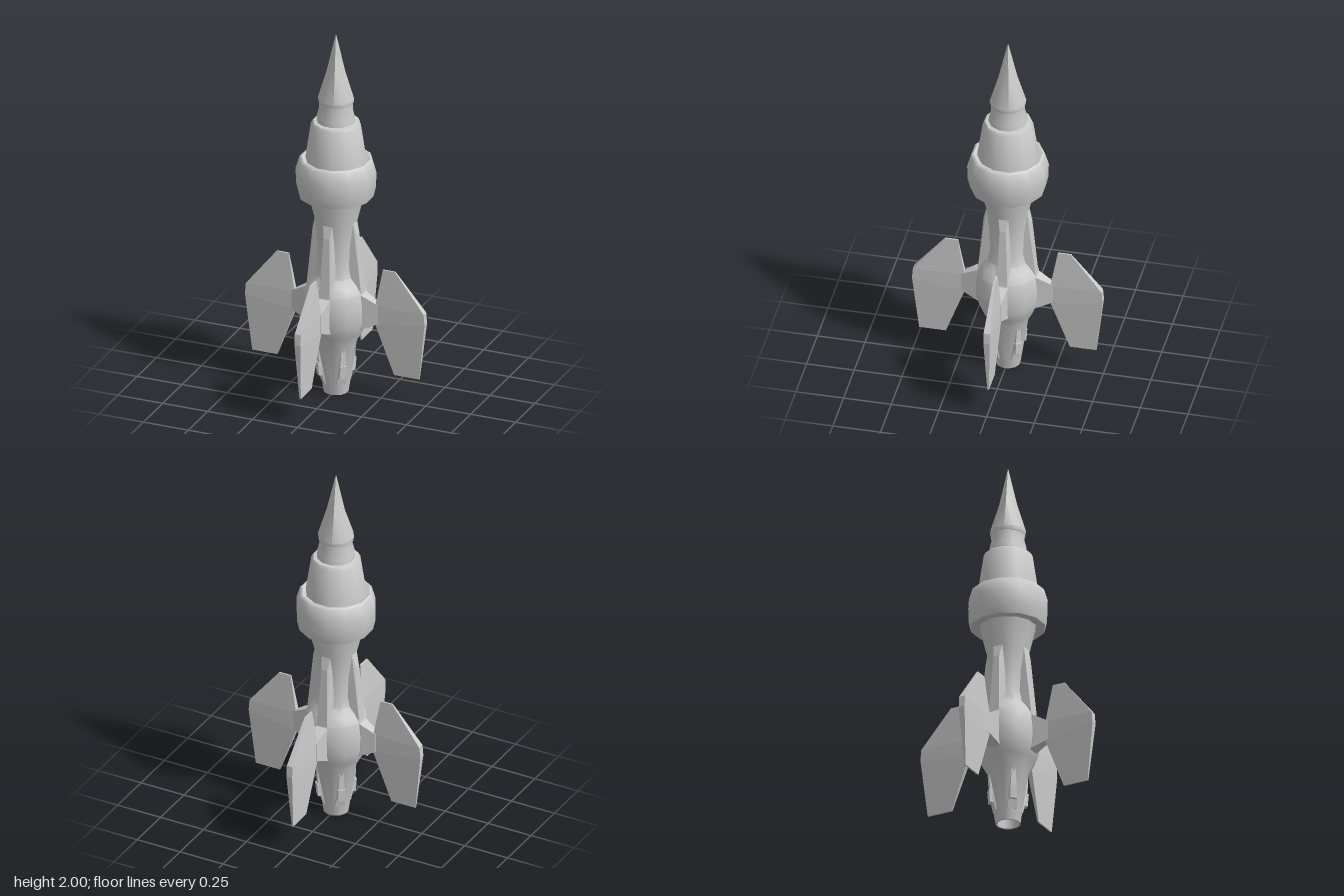
import * as THREE from 'three';
import { toCreasedNormals } from 'three/addons/utils/BufferGeometryUtils.js';
import { ConvexGeometry } from 'three/addons/geometries/ConvexGeometry.js';

const SIDES = 12;
const material = new THREE.MeshStandardMaterial({ color: 0xcccccc });

// Twelve-sided turned shape; radii are measured to the middle of the flats
function turned(profile) {
  const k = 1 / Math.cos(Math.PI / SIDES);
  const points = profile.map(([r, y]) => new THREE.Vector2(r * k, y));
  return new THREE.LatheGeometry(points, SIDES, Math.PI / SIDES);
}

function part(name, geometry) {
  const mesh = new THREE.Mesh(geometry, material);
  mesh.name = name;
  return mesh;
}

const smooth = (geometry, degrees = 36) =>
  toCreasedNormals(geometry, THREE.MathUtils.degToRad(degrees));

// Convex solid mirrored across z = 0, from [x, y, half thickness] corners
function solid(corners) {
  const points = [];
  for (const [x, y, t] of corners) {
    points.push(new THREE.Vector3(x, y, t), new THREE.Vector3(x, y, -t));
  }
  return new ConvexGeometry(points);
}

// Four copies around the vertical axis
function around(group, name, geometry, start = 0) {
  for (let i = 0; i < 4; i++) {
    const mesh = part(name + (i + 1), geometry);
    mesh.rotation.y = start + i * Math.PI / 2;
    group.add(mesh);
  }
}

export function createModel() {
  const model = new THREE.Group();
  model.name = 'rocket';

  // Hollow nozzle, bulging engine section and slim waist
  model.add(part('fuselage', smooth(turned([
    [0.002, 0.16], [0.055, 0.14], [0.055, 0], [0.063, 0], [0.105, 0.29],
    [0.135, 0.345], [0.158, 0.41], [0.16, 0.5], [0.152, 0.58], [0.128, 0.62], [0.102, 0.66],
    [0.092, 0.72], [0.094, 0.84], [0.106, 0.96], [0.142, 1.11],
  ]))));

  // Wide collar
  model.add(part('collar', smooth(turned([
    [0.12, 1.12], [0.145, 1.105], [0.188, 1.105], [0.2, 1.16], [0.202, 1.24],
    [0.183, 1.305], [0.172, 1.312], [0.14, 1.3],
  ]), 45)));

  // Tapered upper stage
  model.add(part('upperStage', smooth(turned([
    [0.155, 1.28], [0.15, 1.33], [0.125, 1.5], [0.115, 1.517], [0.08, 1.522],
  ]))));

  // Neck under the nose
  model.add(part('neck', smooth(turned([
    [0.097, 1.51], [0.094, 1.55], [0.084, 1.59], [0.086, 1.635],
  ]))));

  // Nose that changes from a round base into a square spike
  const nose = turned([[0.05, 1.62], [0.088, 1.625], [0.091, 1.645], [0.046, 1.8], [0.002, 2]]);
  const p = nose.attributes.position;
  const squeeze = Math.cos(Math.PI / 4) / Math.cos(Math.PI / 12);
  for (let i = 0; i < p.count; i++) {
    const column = Math.floor(i / 5);
    if (i % 5 === 3 && column % 3 !== 0) {
      p.setX(i, p.getX(i) * squeeze);
      p.setZ(i, p.getZ(i) * squeeze);
    }
  }
  model.add(part('nose', smooth(nose, 32)));

  // Raised ribs along the waist
  around(model, 'rib', solid([
    [0.07, 0.97, 0.03], [0.106, 0.97, 0.026], [0.124, 0.9, 0.016],
    [0.134, 0.7, 0.012], [0.152, 0.58, 0.03], [0.07, 0.57, 0.04],
  ]));

  // Pylons that carry the fins
  around(model, 'finPylon', solid([
    [0.13, 0.37, 0.035], [0.13, 0.58, 0.035], [0.16, 0.385, 0.033], [0.16, 0.57, 0.033],
    [0.24, 0.42, 0.016], [0.24, 0.525, 0.016],
  ]));

  // Fins, thick across the middle and thin at top and bottom
  around(model, 'fin', solid([
    [0.325, 0.145, 0.004], [0.465, 0.145, 0.004],
    [0.225, 0.415, 0.015], [0.5, 0.46, 0.017],
    [0.225, 0.52, 0.015], [0.495, 0.52, 0.017],
    [0.262, 0.725, 0.004], [0.33, 0.725, 0.004],
  ]));

  // Wedges and small blocks on the nozzle, between the fins
  around(model, 'nozzleWedge', solid([
    [0.07, 0.29, 0.012], [0.104, 0.29, 0.01], [0.1, 0.17, 0.016],
    [0.06, 0.06, 0.03], [0.072, 0.06, 0.026],
  ]), Math.PI / 4);
  around(model, 'nozzleBlock', solid([
    [0.06, 0.105, 0.02], [0.1, 0.105, 0.018], [0.106, 0.175, 0.018], [0.07, 0.18, 0.02],
  ]), Math.PI / 4);

  return model;
}
